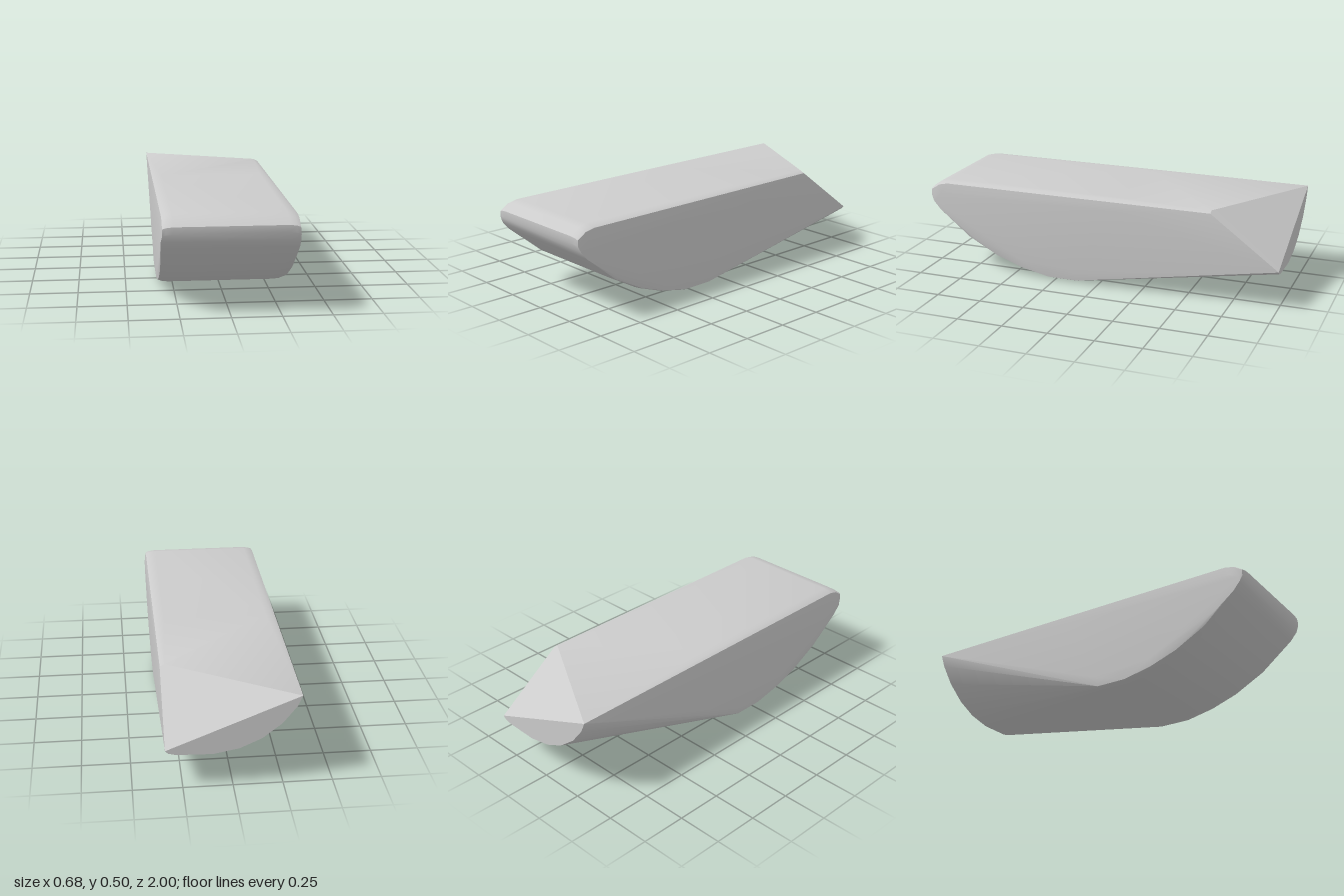
import * as THREE from 'three';
import { ConvexGeometry } from 'three/addons/geometries/ConvexGeometry.js';
import { toCreasedNormals } from 'three/addons/utils/BufferGeometryUtils.js';

// Side profile [z, y]: top edge, blunt nose, curved belly
const PROFILE = [
  [-0.1, 0.5], [0.9, 0.5], [0.95, 0.489], [1, 0.455], [1, 0.42], [0.96, 0.36],
  [0.88, 0.28], [0.77, 0.185], [0.6, 0.09], [0.45, 0.035], [0.29, 0], [0.12, 0],
];

// Softened side edges [x, inset of the profile]
const RINGS = [[0.28, 0], [0.315, 0.005], [0.333, 0.013], [0.339, 0.06]];

// Lower curve of the slanted tail face [x, y] at z = -1
const TAIL = [
  [0.335, 0.215], [0.32, 0.2], [0.28, 0.19], [0.1, 0.185], [-0.03, 0.21],
  [-0.14, 0.26], [-0.24, 0.34], [-0.31, 0.43], [-0.335, 0.487],
];

function bodyPoints() {
  const points = [];
  for (const side of [-1, 1]) {
    for (const [x, inset] of RINGS) {
      for (const [z, y] of PROFILE) {
        const py = 0.25 + (y - 0.25) * (1 - inset / 0.25);
        points.push(new THREE.Vector3(side * x, py, z * (1 - inset * 0.3)));
      }
    }
  }
  for (const [x, y] of TAIL) points.push(new THREE.Vector3(x, y, -1));
  // Upper corner of the diagonal cut
  points.push(new THREE.Vector3(0.31, 0.499, -0.63));
  points.push(new THREE.Vector3(0.334, 0.488, -0.63));
  return points;
}

export function createModel() {
  const group = new THREE.Group();
  group.name = 'wedgeBlock';

  // Solid body stretched over the nose, belly and cut tail
  const geometry = toCreasedNormals(new ConvexGeometry(bodyPoints()), THREE.MathUtils.degToRad(25));
  const body = new THREE.Mesh(geometry, new THREE.MeshStandardMaterial({ color: 0xcccccc }));
  body.name = 'body';
  group.add(body);
  return group;
}
